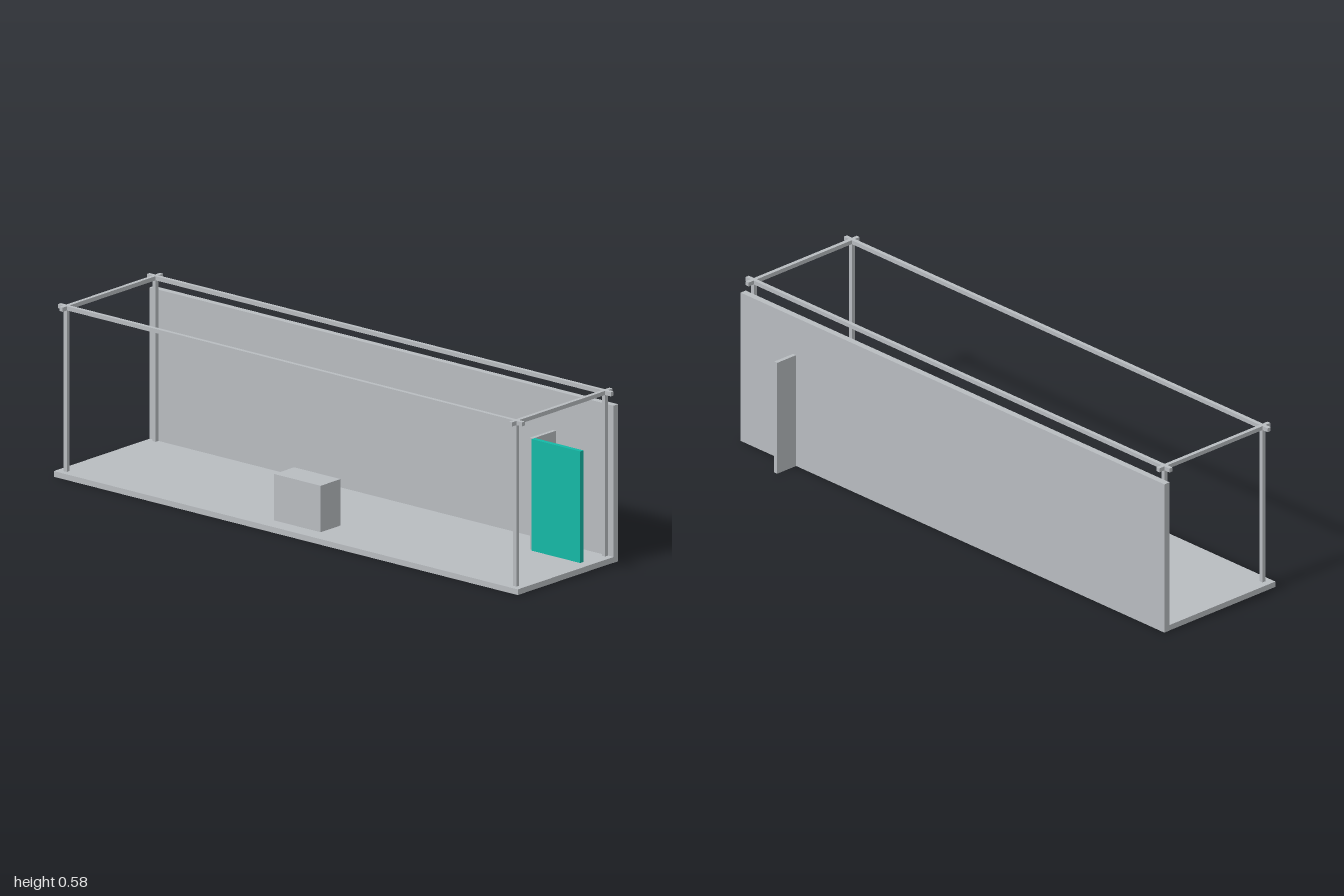
import * as THREE from 'three';

export function createModel() {
  const model = new THREE.Group();
  model.name = 'exhibitionBooth';

  const grey = new THREE.MeshStandardMaterial({ color: 0xb8bcc0 });
  grey.name = 'light grey';
  const teal = new THREE.MeshStandardMaterial({ color: 0x14b8a6 });
  teal.name = 'teal';

  // Box given by its min and max along each axis
  function box(name, material, [x0, x1], [y0, y1], [z0, z1]) {
    const mesh = new THREE.Mesh(new THREE.BoxGeometry(x1 - x0, y1 - y0, z1 - z0), material);
    mesh.position.set((x0 + x1) / 2, (y0 + y1) / 2, (z0 + z1) / 2);
    mesh.name = name;
    model.add(mesh);
  }

  // Floor, back wall and counter (floor is a hair up so the door foot shows below)
  box('floor', grey, [-1, 1], [0.0006, 0.02], [-0.184, 0.292]);
  box('backWall', grey, [-1, 1], [0, 0.535], [-0.207, -0.184]);
  box('counter', grey, [-0.1, 0.1], [0.02, 0.178], [0.135, 0.234]);

  // Corner room: side partition through the wall, and coloured front panel
  box('sidePartition', grey, [0.738, 0.752], [0, 0.4], [-0.292, -0.07]);
  box('colouredPanel', teal, [0.752, 0.962], [0, 0.4], [-0.078, -0.062]);

  // Square-tube frame: posts, long rails and cross rails
  const half = 0.007;
  const span = (c) => [c - half, c + half];
  const railY = [0.57, 0.584];
  for (const z of [0.264, -0.177]) {
    box('longRail', grey, [-1, 1], railY, span(z));
    for (const x of [-0.969, 0.969]) box('post', grey, span(x), [0.02, 0.57], span(z));
  }
  for (const x of [-0.969, 0.969]) box('crossRail', grey, span(x), railY, [-0.207, 0.292]);

  return model;
}
